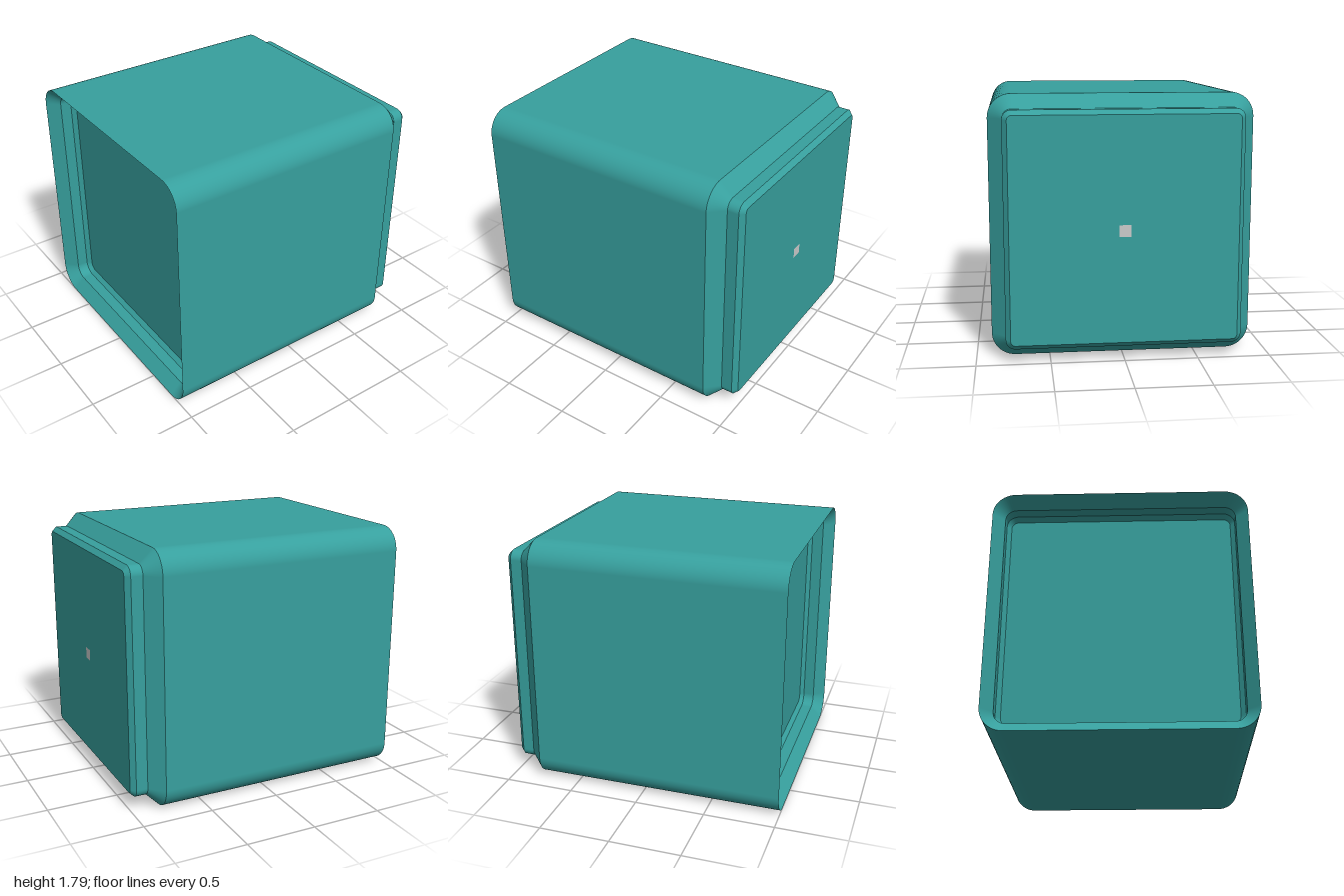
import * as THREE from 'three';

const CENTER_Y = 0.895;
const CORNER_STEPS = 12;

// Rounded square outline, counter-clockwise from the front, with the corner angle at each point
function outline(half, radius) {
  const points = [];
  for (let corner = 0; corner < 4; corner++) {
    const mid = Math.PI / 4 + corner * Math.PI / 2;
    const cx = Math.sign(Math.cos(mid)) * (half - radius);
    const cy = Math.sign(Math.sin(mid)) * (half - radius);
    for (let i = 0; i <= CORNER_STEPS; i++) {
      const a = (corner + i / CORNER_STEPS) * Math.PI / 2;
      points.push({ x: cx + radius * Math.cos(a), y: cy + radius * Math.sin(a), a });
    }
  }
  return points;
}

// Band between two outlines: smooth around the corners, sharp at both rims
function band(from, to) {
  const a = outline(from.half, from.radius);
  const b = outline(to.half, to.radius);
  const slope = new THREE.Vector2(from.z - to.z, to.half - from.half).normalize();
  const positions = [], normals = [], index = [];
  const n = a.length;
  for (let i = 0; i < n; i++) {
    positions.push(a[i].x, a[i].y, from.z, b[i].x, b[i].y, to.z);
    const nx = slope.x * Math.cos(a[i].a), ny = slope.x * Math.sin(a[i].a);
    normals.push(nx, ny, slope.y, nx, ny, slope.y);
    const p = 2 * i, q = 2 * ((i + 1) % n);
    index.push(p, p + 1, q, q, p + 1, q + 1);
  }
  const geometry = new THREE.BufferGeometry();
  geometry.setAttribute('position', new THREE.Float32BufferAttribute(positions, 3));
  geometry.setAttribute('normal', new THREE.Float32BufferAttribute(normals, 3));
  geometry.setIndex(index);
  return geometry;
}

// Flat rounded square panel
function panel({ half, radius }) {
  return new THREE.ShapeGeometry(
    new THREE.Shape(outline(half, radius).map(p => new THREE.Vector2(p.x, p.y))));
}

export function createModel() {
  const model = new THREE.Group();
  model.name = 'stackingBlock';
  const teal = new THREE.MeshStandardMaterial({ color: 0x37a09e });
  const grey = new THREE.MeshStandardMaterial({ color: 0xcccccc });

  const add = (name, geometry, material, z = 0) => {
    const mesh = new THREE.Mesh(geometry, material);
    mesh.name = name;
    mesh.position.set(0, CENTER_Y, z);
    model.add(mesh);
    return mesh;
  };

  // Rings from the socket floor, out over the front rim, along the body to the plug
  const ring = (half, radius, z) => ({ half, radius, z });
  const rings = [
    ring(0.785, 0.05, 0.81),
    ring(0.815, 0.08, 0.84),
    ring(0.815, 0.08, 0.92),
    ring(0.895, 0.16, 1),
    ring(0.895, 0.16, -0.79),
    ring(0.8, 0.065, -0.885),
    ring(0.8, 0.065, -0.967),
    ring(0.767, 0.032, -1),
  ];
  const names = ['socketInnerBevel', 'socketWall', 'socketOuterBevel', 'bodyShell',
    'shoulderBevel', 'plugWall', 'plugBevel'];
  names.forEach((name, i) => add(name, band(rings[i], rings[i + 1]), teal));

  // Closing panels
  add('socketFloor', panel(rings[0]), teal, rings[0].z);
  add('plugFace', panel(rings[7]), teal, -1).rotation.y = Math.PI;

  // Small square marker in the middle of the back
  add('backMarker', new THREE.PlaneGeometry(0.08, 0.08), grey, -1.001).rotation.y = Math.PI;

  return model;
}
